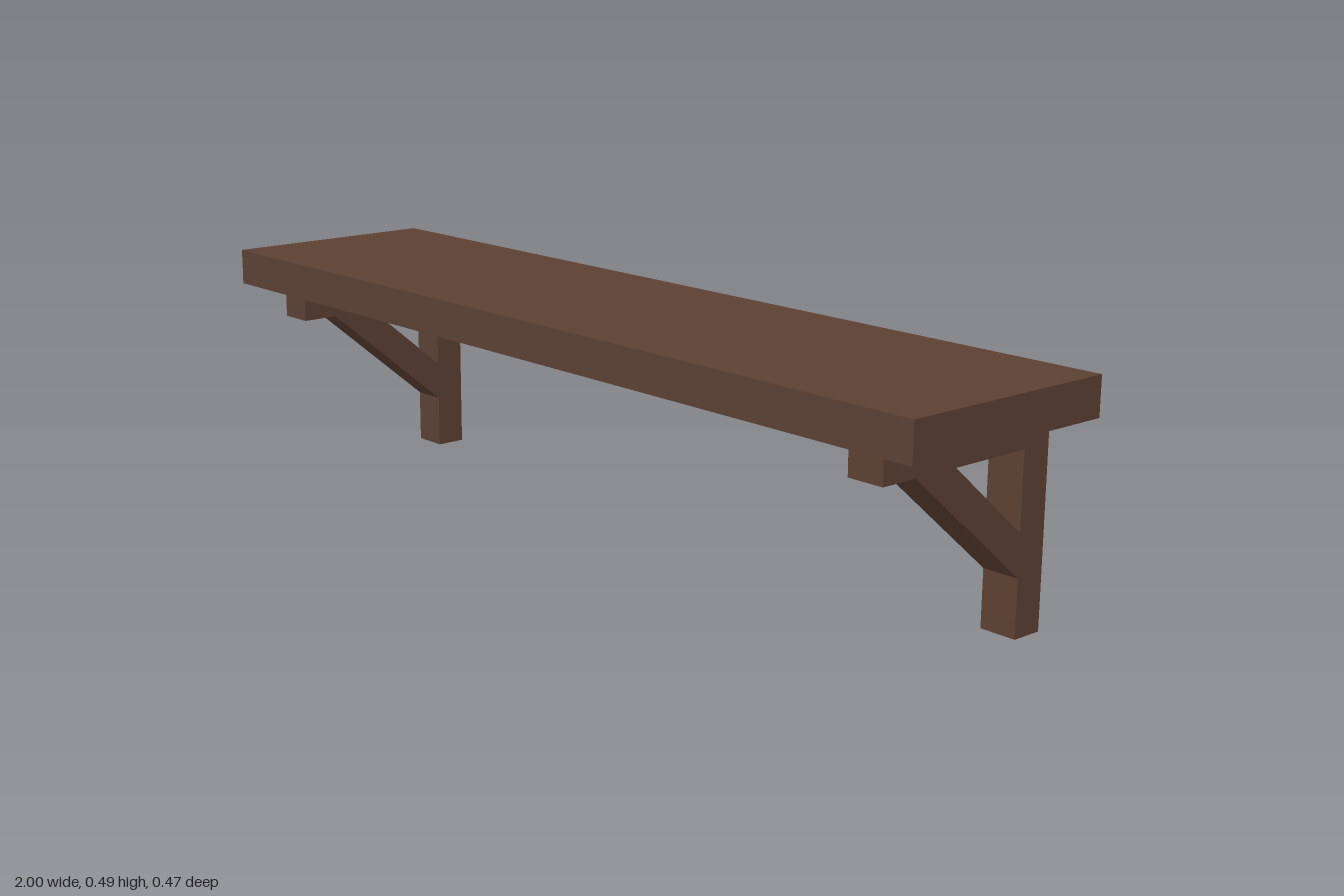
import * as THREE from 'three';

const wood = new THREE.MeshStandardMaterial({ color: 0x5c4033 });
wood.name = 'dark brown wood';

const WIDTH = 0.077; // bracket timber width

// Box from its y and z limits, centred on x = 0
function beam(name, width, y0, y1, z0, z1) {
  const mesh = new THREE.Mesh(new THREE.BoxGeometry(width, y1 - y0, z1 - z0), wood);
  mesh.position.set(0, (y0 + y1) / 2, (z0 + z1) / 2);
  mesh.name = name;
  return mesh;
}

// Diagonal strut: a [z, y] outline extruded along x
function strut() {
  const outline = [[0.108, 0.346], [0.008, 0.346], [-0.17, 0.196], [-0.17, 0.113]];
  const shape = new THREE.Shape(outline.map(([z, y]) => new THREE.Vector2(z, y)));
  const geometry = new THREE.ExtrudeGeometry(shape, { depth: WIDTH, bevelEnabled: false });
  geometry.translate(0, 0, -WIDTH / 2);
  geometry.rotateY(-Math.PI / 2);
  const mesh = new THREE.Mesh(geometry, wood);
  mesh.name = 'diagonalStrut';
  return mesh;
}

// Wall post, arm under the shelf and diagonal strut
function bracket(name, x) {
  const group = new THREE.Group();
  group.name = name;
  group.add(
    beam('post', WIDTH, 0, 0.411, -0.235, -0.17),
    beam('arm', WIDTH, 0.346, 0.411, -0.17, 0.187),
    strut()
  );
  group.position.x = x;
  return group;
}

export function createModel() {
  const model = new THREE.Group();
  model.name = 'bracketShelf';
  model.add(
    beam('shelfBoard', 2, 0.411, 0.487, -0.235, 0.235),
    bracket('leftBracket', 0.859),
    bracket('rightBracket', -0.859)
  );
  return model;
}
